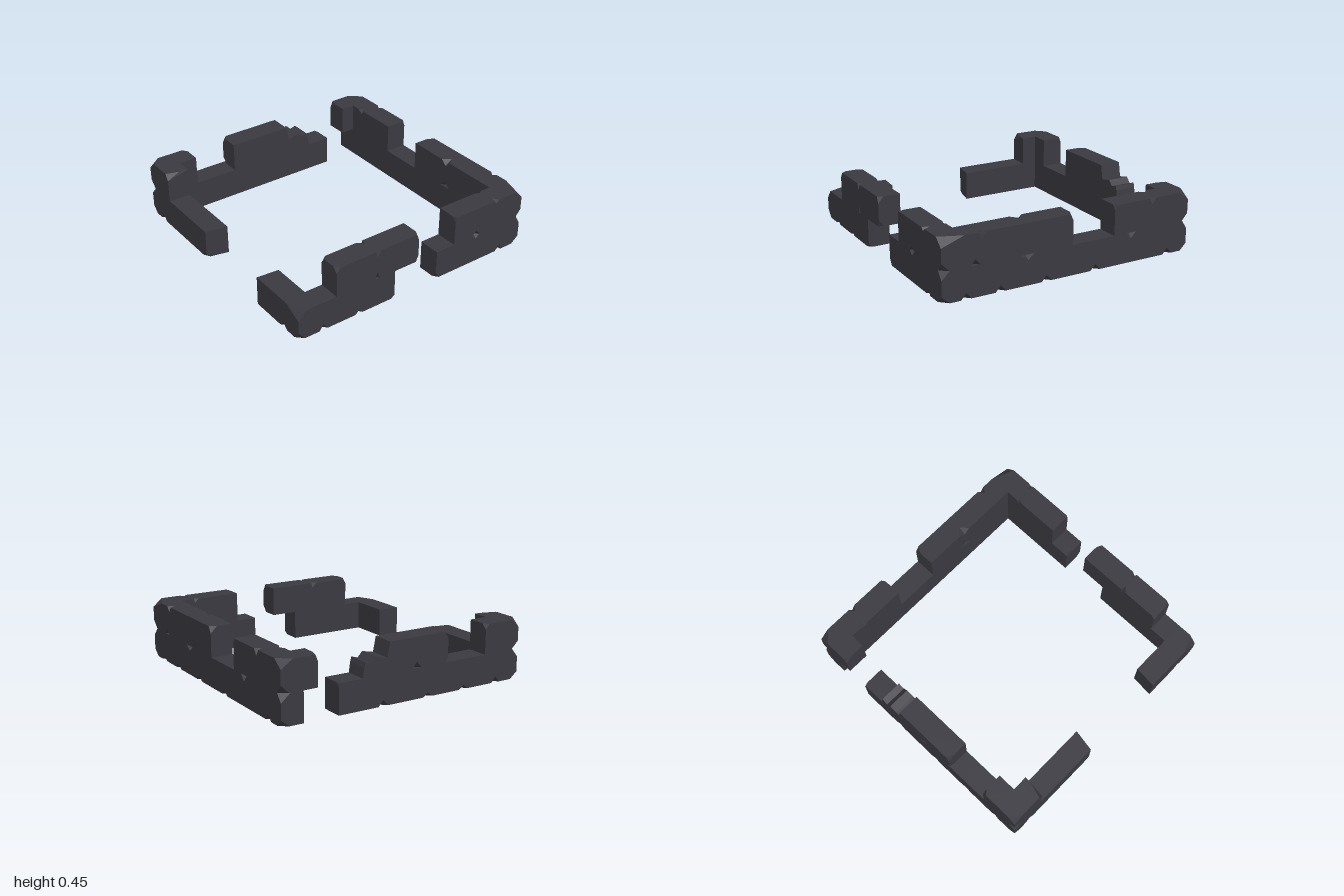
import * as THREE from 'three';
import { ConvexGeometry } from 'three/addons/geometries/ConvexGeometry.js';
import { mergeGeometries } from 'three/addons/utils/BufferGeometryUtils.js';

const H = 0.225, TOP = 0.45, INNER = 0.83, OUTER = 1;

export function createModel() {
  const model = new THREE.Group();
  model.name = 'ruinedWall';
  const stone = new THREE.MeshStandardMaterial({ color: 0x3a3940 });
  stone.name = 'darkStone';

  const add = (name, geometry) => {
    const mesh = new THREE.Mesh(geometry, stone);
    mesh.name = name;
    model.add(mesh);
  };

  // One course of wall along 'x' or 'z', on the + or - side.
  // chips: [position, edge, along, height, depth], edge = t/b (top/bottom) + o/i (outer/inner).
  // The course is split at every chip, and the touching block corners are cut off.
  function course(name, axis, side, level, from, to, chips = [], skew = [0, 0]) {
    const y0 = level * H, y1 = y0 + H;
    const stops = [...new Set([from, to, ...chips.map(c => c[0])])].sort((a, b) => a - b);
    const blocks = [];
    for (let i = 0; i < stops.length - 1; i++) {
      const points = [];
      const put = (u, y, t) => points.push(axis === 'x'
        ? new THREE.Vector3(u, y, side * t) : new THREE.Vector3(side * t, y, u));
      for (const end of [0, 1]) for (const v of ['t', 'b']) for (const w of ['o', 'i']) {
        const stop = stops[i + end];
        let u = stop;
        if (w === 'i' && stop === from) u += skew[0];
        if (w === 'i' && stop === to) u += skew[1];
        const y = v === 't' ? y1 : y0, t = w === 'o' ? OUTER : INNER;
        const chip = chips.find(c => c[0] === stop && c[1] === v + w);
        if (!chip) { put(u, y, t); continue; }
        const [, , a = 0.04, h = 0.045, d = 0.04] = chip;
        put(u + (end ? -a : a), y, t);
        put(u, y + (v === 't' ? -h : h), t);
        put(u, y, t + (w === 'o' ? -d : d));
      }
      blocks.push(new ConvexGeometry(points));
    }
    add(name, mergeGeometries(blocks));
  }

  // Back wall
  course('backLowerCourse', 'x', -1, 0, -1, 1, [
    [-1, 'to', 0.05, 0.06, 0.07], [-1, 'bo', 0.05, 0.05, 0.06], [-0.83, 'bo'], [-0.5, 'to'],
    [-0.2, 'bo'], [0.2, 'bo'], [0.35, 'to', 0.05, 0.04, 0.05], [0.56, 'bo'], [0.82, 'bo'],
    [1, 'to', 0.06, 0.06, 0.05], [1, 'bo', 0.06, 0.05, 0.06]]);
  course('backUpperRight', 'x', -1, 1, -1, -0.355, [
    [-1, 'to', 0.08, 0.06, 0.09], [-1, 'bo', 0.05, 0.06, 0.06],
    [-0.71, 'ti', 0.05, 0.03, 0.03], [-0.68, 'to', 0.03], [-0.355, 'to', 0.02, 0.04, 0.03]]);
  course('backUpperLeft', 'x', -1, 1, -0.01, 1, [
    [-0.01, 'to', 0.03, 0.05, 0.05], [0.35, 'ti', 0.05, 0.04, 0.06], [0.35, 'bi', 0.05, 0.045, 0.04],
    [0.7, 'to', 0.03, 0.04, 0.05], [0.75, 'bo'],
    [1, 'to', 0.17, 0.06, 0.07], [1, 'bo', 0.06, 0.06, 0.05]]);

  // Left wall (+x)
  course('leftLowerBack', 'z', 1, 0, -INNER, -0.19, [
    [-0.82, 'bo', 0.05], [-0.56, 'to', 0.03, 0.03, 0.03], [-0.19, 'bo', 0.03]]);
  course('leftUpperBack', 'z', 1, 1, -INNER, -0.35, [
    [-0.74, 'to', 0.03, 0.02, 0.05], [-0.72, 'ti', 0.03, 0.03, 0.02],
    [-0.56, 'bo', 0.04, 0.04, 0.04], [-0.35, 'to', 0.01, 0.04, 0.05]]);
  course('leftLowerFront', 'z', 1, 0, 0.19, INNER, [
    [0.19, 'bo', 0.03, 0.02], [0.5, 'bo', 0.03, 0.03], [0.8, 'bo', 0.04]]);
  course('leftUpperFront', 'z', 1, 1, -0.015, 0.69, [
    [-0.015, 'to', 0.02, 0.05, 0.04], [-0.015, 'bo', 0.02, 0.05, 0.04],
    [0.35, 'to', 0.03, 0.05, 0.04], [0.35, 'bo', 0.03, 0.05, 0.04], [0.36, 'ti', 0.04, 0.04, 0.04],
    [0.69, 'to', 0.03, 0.04, 0.04], [0.69, 'ti', 0.03, 0.04, 0.04]]);

  // Front wall, open in the middle
  course('frontLowerLeft', 'x', 1, 0, 0.5, 1, [
    [0.82, 'bo', 0.04, 0.04, 0.04], [1, 'to', 0.14, 0.07, 0.06], [1, 'bo', 0.05, 0.06, 0.05]], [0.015, 0]);
  course('frontLowerRight', 'x', 1, 0, -1, -0.19, [
    [-1, 'to', 0.08, 0.06, 0.06], [-1, 'bo', 0.05, 0.05, 0.06], [-0.84, 'bo', 0.04, 0.05],
    [-0.19, 'bo', 0.05, 0.02, 0.03]], [0, 0.03]);
  course('frontUpperRight', 'x', 1, 1, -1, -0.72, [
    [-1, 'to', 0.07, 0.06, 0.07], [-1, 'bo', 0.06, 0.06, 0.06],
    [-0.72, 'to', 0.03, 0.05, 0.1]], [0, 0.01]);

  // Right wall (-x)
  course('rightCornerUpper', 'z', -1, 1, 0.69, INNER, [[0.69, 'to', 0.03, 0.04, 0.04]]);
  course('rightLowerCourse', 'z', -1, 0, -0.56, INNER, [
    [-0.56, 'to', 0.01, 0.03, 0.03], [-0.2, 'bo'], [0.18, 'bo', 0.04, 0.03],
    [0.5, 'bo', 0.04, 0.03], [0.8, 'bo']]);
  course('rightUpperCourse', 'z', -1, 1, -0.15, 0.35, [
    [0.08, 'bo'], [0.35, 'to', 0.03, 0.05, 0.05], [0.35, 'bo', 0.02, 0.04, 0.04]]);
  course('rightBackStub', 'z', -1, 1, -INNER, -0.72, [[-0.72, 'to', 0.02, 0.05, 0.07]]);

  // Broken, stepped end of the right wall, drawn as (-z, y) and extruded along x
  const broken = new THREE.Shape([
    [0.15, H], [0.37, H], [0.36, 0.3], [0.35, 0.335], [0.3, 0.32], [0.285, 0.335],
    [0.262, 0.36], [0.2, 0.345], [0.172, 0.34], [0.15, TOP],
  ].map(([a, b]) => new THREE.Vector2(a, b)));
  const rubble = new THREE.ExtrudeGeometry(broken, { depth: OUTER - INNER, bevelEnabled: false });
  rubble.rotateY(Math.PI / 2).translate(-OUTER, 0, 0);
  add('brokenRightEnd', rubble);

  return model;
}
